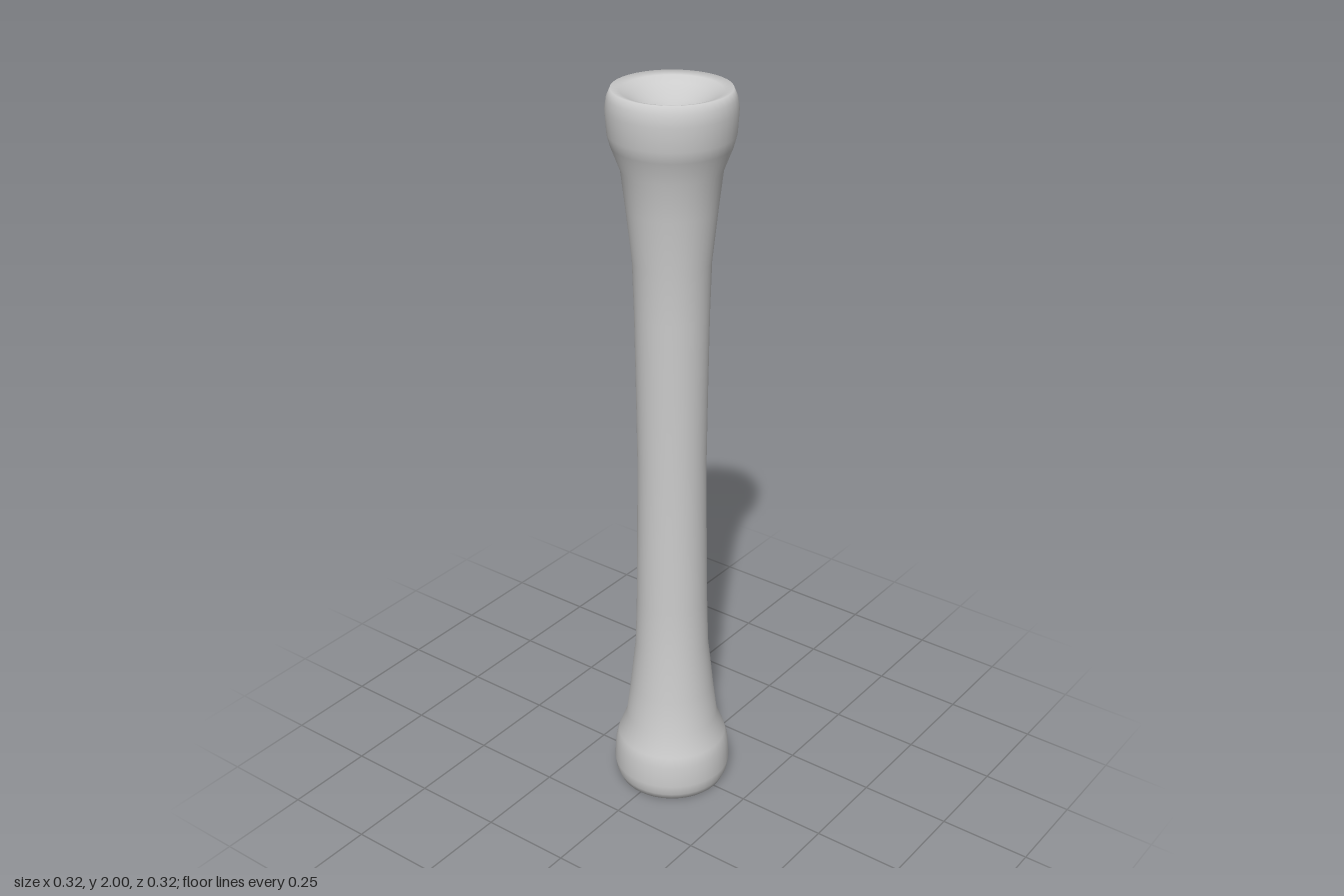
import * as THREE from 'three';

export function createModel() {
  const group = new THREE.Group();
  const material = new THREE.MeshStandardMaterial({ color: 0xcccccc });

  // Lower half of the profile: hollow end, rounded lip, flare, slim shaft
  const half = [
    [0, 0.055], [0.06, 0.045], [0.105, 0.02], [0.125, 0.006], [0.148, 0],
    [0.157, 0.02], [0.162, 0.05], [0.158, 0.11], [0.15, 0.14], [0.127, 0.2],
    [0.115, 0.3], [0.1, 0.44], [0.096, 0.58], [0.093, 0.8], [0.091, 1],
  ];
  // The upper half mirrors the lower one about y = 1
  const mirrored = half.slice(0, -1).reverse().map(([r, y]) => [r, 2 - y]);
  const profile = [...half, ...mirrored].map(([r, y]) => new THREE.Vector2(r, y));

  const shaft = new THREE.Mesh(new THREE.LatheGeometry(profile, 40), material);
  shaft.name = 'flaredShaft';
  group.add(shaft);
  return group;
}
